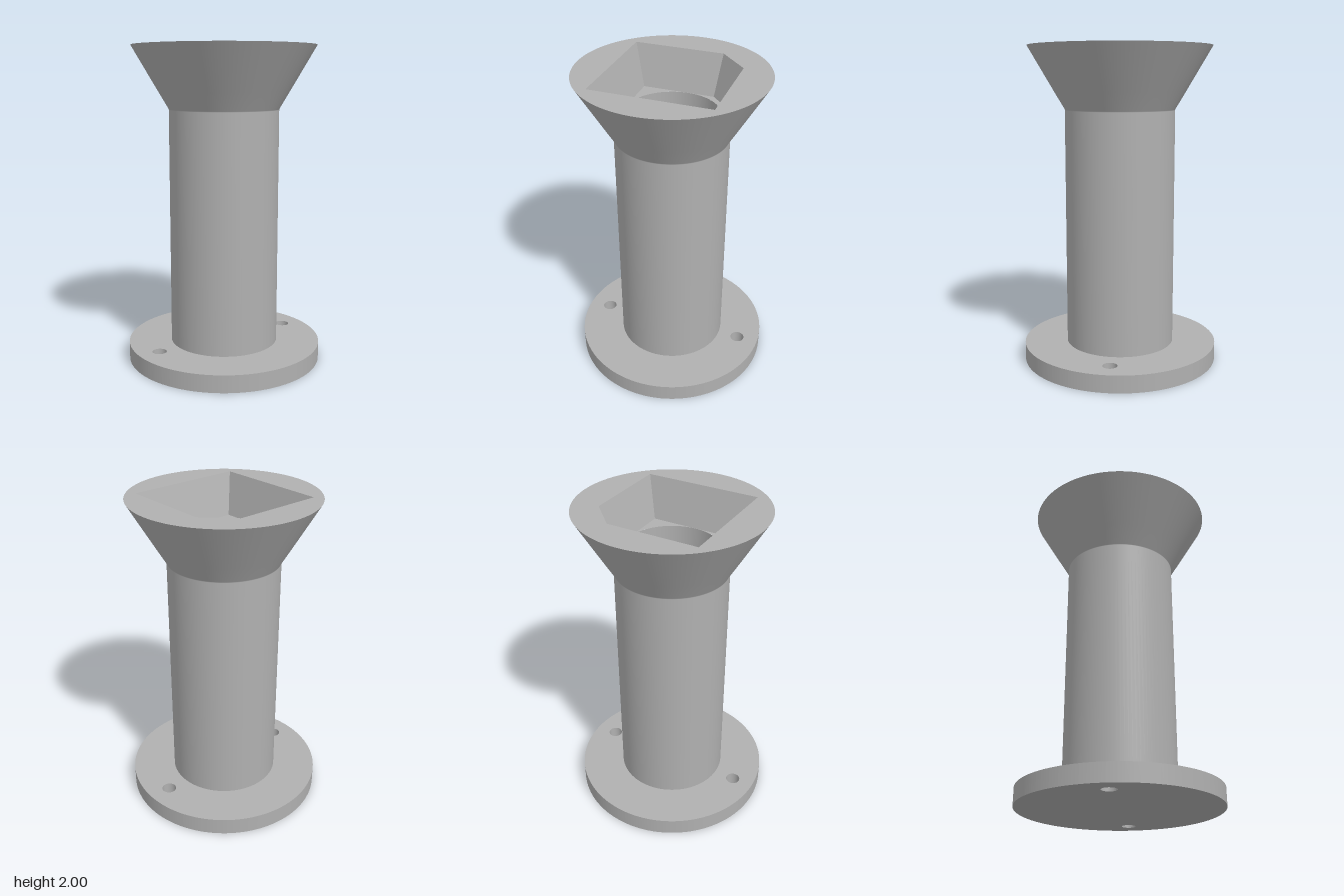
import * as THREE from 'three';

const SEG = 96;
const TOP = 2, LEDGE = 1.75, FLANGE = 0.11;

export function createModel() {
  const model = new THREE.Group();
  const grey = new THREE.MeshStandardMaterial({ color: 0xb0b0b0 });
  grey.name = 'grey';

  const add = (name, geometry) => {
    const mesh = new THREE.Mesh(geometry, grey);
    mesh.name = name;
    model.add(mesh);
  };
  const v2 = (list) => list.map(([x, y]) => new THREE.Vector2(x, y));
  const circle = (r, x = 0, y = 0) => new THREE.Shape().absarc(x, y, r, 0, Math.PI * 2, false);
  // Flat shapes are drawn in x/-z and laid down at a height
  const lay = (geometry, y = 0) => geometry.rotateX(-Math.PI / 2).translate(0, y, 0);
  // Square with one corner cut off
  const socket = (s, c) => [[-s, -s], [s, -s], [s, c], [c, s], [-s, s]];

  // Base flange with two bolt holes
  const flange = circle(0.62);
  flange.holes.push(circle(0.045, 0.48), circle(0.045, -0.48));
  add('baseFlange', lay(new THREE.ExtrudeGeometry(flange, {
    depth: FLANGE, bevelEnabled: false, curveSegments: SEG,
  })));

  // Column flowing into the flared head, softened at the neck
  add('columnAndFlare', new THREE.LatheGeometry(v2([
    [0.345, FLANGE], [0.345, 1.605], [0.345, 1.61], [0.41, 1.72], [0.573, TOP],
  ]), SEG));

  // Top rim around the socket
  const upper = socket(0.362, 0.195), lower = socket(0.287, 0.165);
  const rim = circle(0.573);
  rim.holes.push(new THREE.Path(v2(upper)));
  add('topRim', lay(new THREE.ShapeGeometry(rim, SEG), TOP));

  // Tapered socket walls, facing inward
  const positions = [];
  upper.forEach((a, i) => {
    const j = (i + 1) % upper.length;
    const aTop = [...a, TOP], bTop = [...upper[j], TOP];
    const aLow = [...lower[i], LEDGE], bLow = [...lower[j], LEDGE];
    positions.push(...aLow, ...bTop, ...bLow, ...aLow, ...aTop, ...bTop);
  });
  const walls = new THREE.BufferGeometry();
  walls.setAttribute('position', new THREE.Float32BufferAttribute(positions, 3));
  walls.computeVertexNormals();
  add('socketWalls', lay(walls));

  // Ledge at the foot of the socket, opening into the bore
  const ledge = new THREE.Shape(v2(lower));
  ledge.holes.push(circle(0.286));
  add('socketLedge', lay(new THREE.ShapeGeometry(ledge, SEG), LEDGE));

  // Bore running down to the flange
  add('bore', new THREE.LatheGeometry(v2([[0.286, LEDGE], [0.286, FLANGE]]), SEG));

  return model;
}
